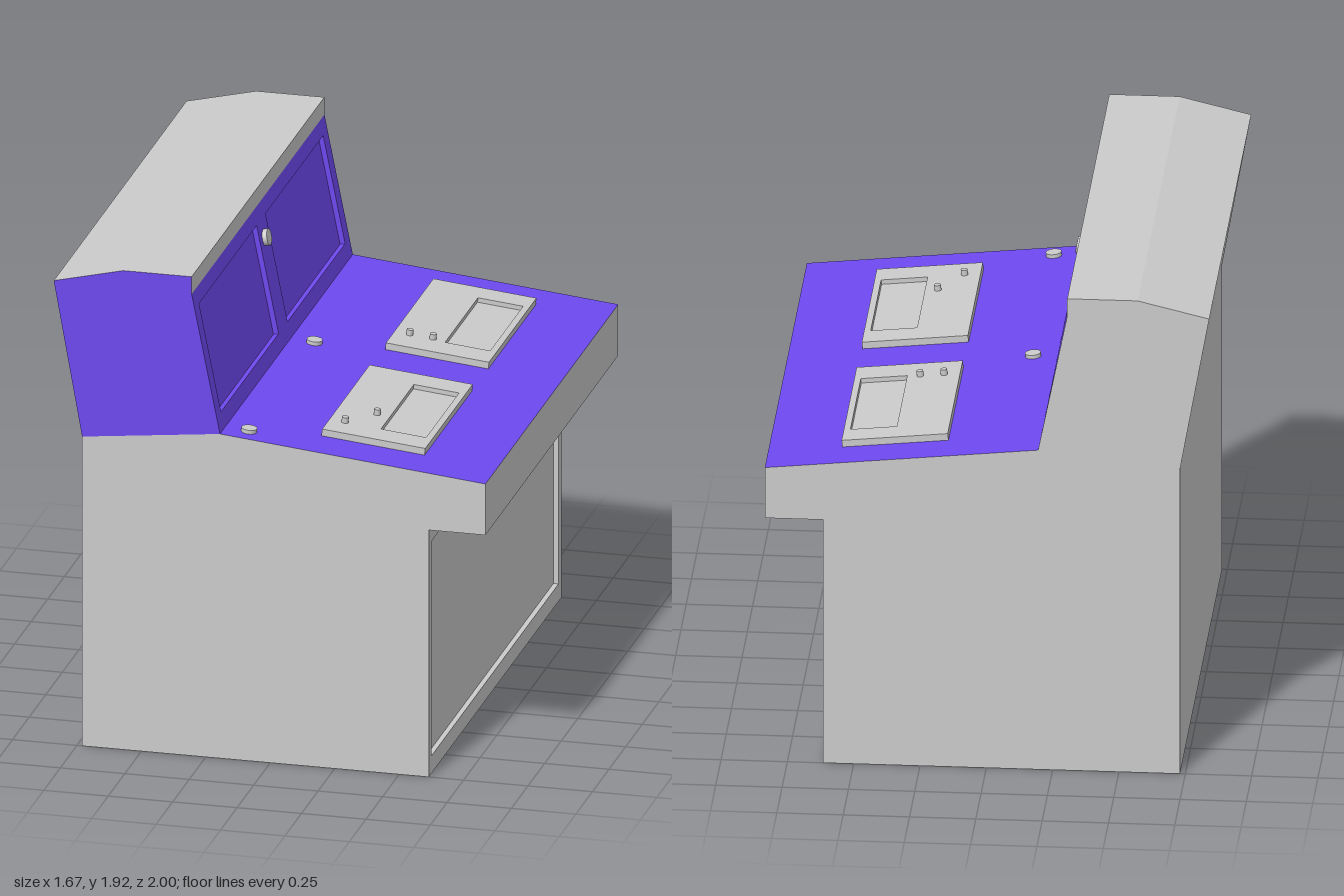
import * as THREE from 'three';

const grey = new THREE.MeshStandardMaterial({ color: 0xcccccc, flatShading: true });
const purple = new THREE.MeshStandardMaterial({ color: 0x6e49f0, flatShading: true });
const smoothGrey = new THREE.MeshStandardMaterial({ color: 0xcccccc });

// Outline of the console, counter-clockwise as seen from the front
const outline = [
  [-0.73, 0], [0.615, 0], [0.615, 0.99], [0.835, 0.99], [0.835, 1.195], [-0.195, 1.3],
  [-0.305, 1.85], [-0.305, 1.92], [-0.57, 1.92], [-0.84, 1.855], [-0.73, 1.24],
].map(([x, y]) => new THREE.Vector2(x, y));

const stripNames = ['base', 'kneePanel', 'overhangUnderside', 'deskEdge', 'desktop', 'upperPanel',
  'hoodLip', 'hoodTop', 'hoodSlope', 'upperBack', 'lowerBack'];

function add(parent, name, geometry, material, x = 0, y = 0, z = 0) {
  const mesh = new THREE.Mesh(geometry, material);
  mesh.name = name;
  mesh.position.set(x, y, z);
  parent.add(mesh);
  return mesh;
}

const rectPoints = (x0, y0, x1, y1) =>
  [[x0, y0], [x1, y0], [x1, y1], [x0, y1]].map(([x, y]) => new THREE.Vector2(x, y));

function rectShape(rect, holes) {
  const shape = new THREE.Shape(rectPoints(...rect));
  for (const hole of holes) shape.holes.push(new THREE.Path(rectPoints(...hole).reverse()));
  return shape;
}

// Inward-facing tray, open at its front (+z)
function addRecess(parent, name, [x0, y0, x1, y1], depth, material, top = 0) {
  const box = new THREE.BoxGeometry(x1 - x0, y1 - y0, depth);
  const index = Array.from(box.index.array);
  index.splice(24, 6);
  box.setIndex(index);
  box.scale(-1, 1, 1);
  box.computeVertexNormals();
  add(parent, name, box, material, (x0 + x1) / 2, (y0 + y1) / 2, top - depth / 2);
}

// Flat face between two outline points: local x = -z, local y runs along the outline, local z points out
function addStrip(parent, name, a, b, material, holes = []) {
  const group = new THREE.Group();
  group.name = name;
  const d = b.clone().sub(a);
  const length = d.length();
  d.normalize();
  const basis = new THREE.Matrix4().makeBasis(
    new THREE.Vector3(0, 0, -1), new THREE.Vector3(d.x, d.y, 0), new THREE.Vector3(d.y, -d.x, 0));
  group.quaternion.setFromRotationMatrix(basis);
  group.position.set(a.x, a.y, 0);
  add(group, name + 'Face', new THREE.ShapeGeometry(rectShape([-1, 0, 1, length], holes)), material);
  for (const hole of holes) addRecess(group, name + 'Recess', hole, 0.02, material);
  parent.add(group);
  return group;
}

// Round button standing on a strip
function addButton(parent, name, x, y, z, radius, height) {
  const geometry = new THREE.CylinderGeometry(radius, radius, height, 24).rotateX(Math.PI / 2);
  add(parent, name, geometry, smoothGrey, x, y, z + height / 2);
}

export function createModel() {
  const model = new THREE.Group();
  model.name = 'controlConsole';

  // Long faces, some with sunken panels
  const holes = {
    kneePanel: [[-0.955, 0.07, 0.955, 0.93]],
    upperPanel: [[-0.935, 0.066, -0.067, 0.5], [0.067, 0.066, 0.935, 0.5]],
  };
  const strips = {};
  stripNames.forEach((name, i) => {
    const material = name === 'desktop' || name === 'upperPanel' ? purple : grey;
    strips[name] = addStrip(model, name, outline[i], outline[(i + 1) % outline.length], material, holes[name]);
  });

  // End walls: one plain, the other with a coloured upper part
  const wall = (points) => new THREE.ShapeGeometry(new THREE.Shape(points));
  add(model, 'lowerEndWall', wall([...outline.slice(0, 6), outline[10]]), grey, 0, 0, 1);
  add(model, 'upperEndWall', wall(outline.slice(5)), purple, 0, 0, 1);
  add(model, 'plainEndWall', wall(outline.map((p) => new THREE.Vector2(-p.x, p.y))), grey, 0, 0, -1)
    .rotation.y = Math.PI;

  // Desktop fittings, placed by model x and z
  const desk = strips.desktop;
  const along = (x) => (0.835 - x) * 1.0052;
  const thickness = 0.027;
  const pads = [
    { z: [-0.845, -0.13], tray: [-0.74, -0.245], buttons: [[0.215, -0.255], [0.305, -0.255]] },
    { z: [0.115, 0.83], tray: [0.225, 0.72], buttons: [[0.215, 0.72], [0.305, 0.585]] },
  ];
  for (const { z, tray, buttons } of pads) {
    const hole = [-tray[1], along(0.53), -tray[0], along(0.355)];
    const shape = rectShape([-z[1], along(0.555), -z[0], along(0.155)], [hole]);
    add(desk, 'controlPad', new THREE.ExtrudeGeometry(shape, { depth: thickness, bevelEnabled: false }), grey);
    addRecess(desk, 'padTray', hole, 0.018, grey, thickness);
    for (const [x, bz] of buttons) addButton(desk, 'padButton', -bz, along(x), thickness, 0.013, 0.022);
  }
  for (const z of [-0.065, 0.92]) addButton(desk, 'deskButton', -z, along(-0.103), 0, 0.03, 0.015);

  // Lock knob between the upper panels
  addButton(strips.upperPanel, 'lockKnob', 0, 0.429, 0, 0.032, 0.018);

  return model;
}
